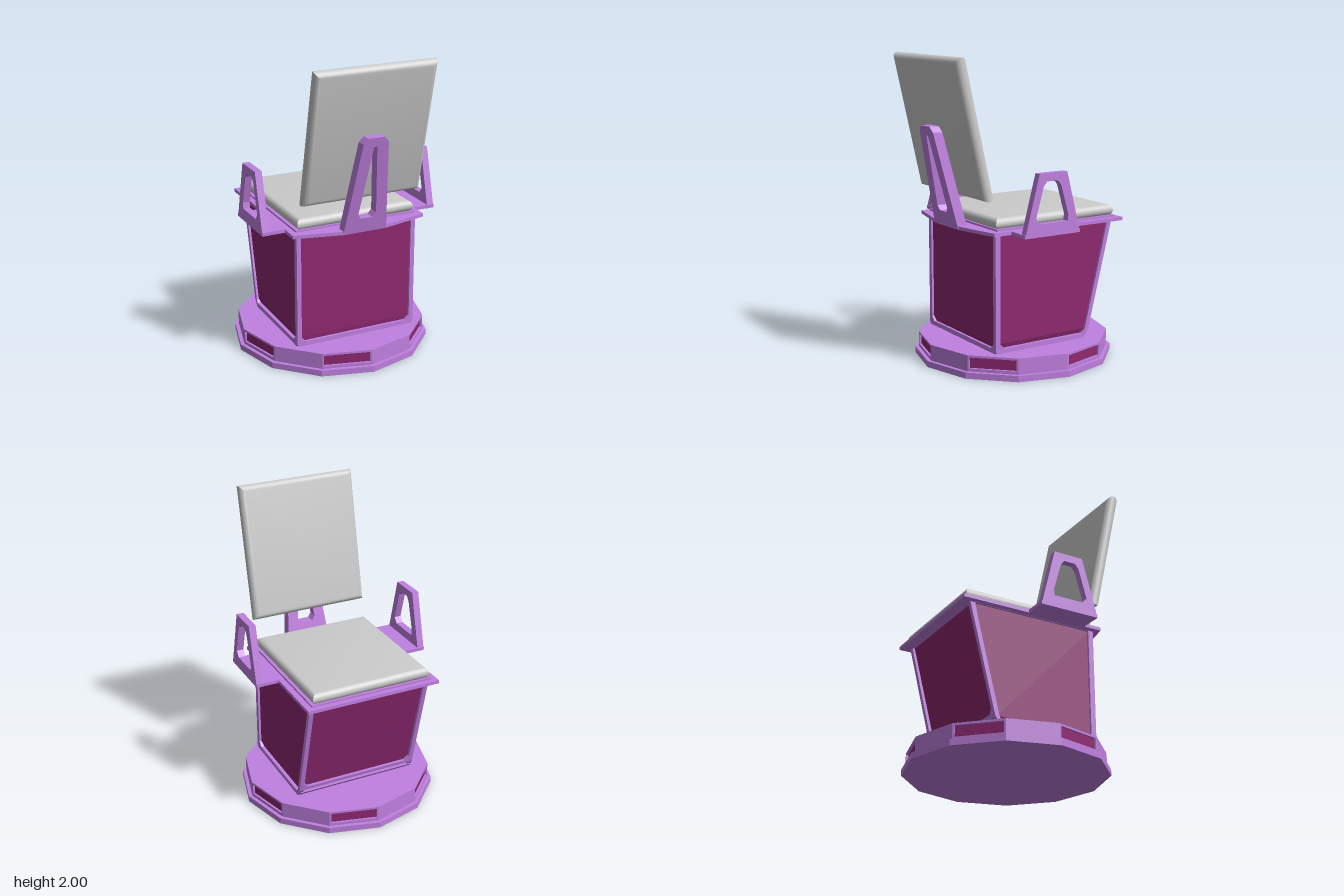
import * as THREE from 'three';
import { toCreasedNormals } from 'three/addons/utils/BufferGeometryUtils.js';

const purple = new THREE.MeshStandardMaterial({ color: 0xc080e0, flatShading: true });
const magenta = new THREE.MeshStandardMaterial({ color: 0x8e2870, flatShading: true });
const grey = new THREE.MeshStandardMaterial({ color: 0xcccccc });

const points = (list) => list.map(([x, y]) => new THREE.Vector2(x, y));

// Flat plate in XY with an optional hole, centred on z = 0
function plate(outline, hole, depth) {
  const shape = new THREE.Shape(points(outline));
  if (hole) shape.holes.push(new THREE.Path(points(hole)));
  return new THREE.ExtrudeGeometry(shape, { depth, bevelEnabled: false }).translate(0, 0, -depth / 2);
}

// Lean a geometry: z moves in proportion to height above y0
function shear(geo, slope, y0) {
  const p = geo.attributes.position;
  for (let i = 0; i < p.count; i++) p.setZ(i, p.getZ(i) + slope * (p.getY(i) - y0));
  geo.computeVertexNormals();
  return geo;
}

// Closed solid through rectangular rings [halfX, zBack, zFront, y], bottom to top
function loft(rings) {
  const pos = [], idx = [];
  rings.forEach(([x, b, f, y]) => pos.push(-x, y, f, x, y, f, x, y, b, -x, y, b));
  for (let r = 0; r < rings.length - 1; r++) {
    for (let k = 0; k < 4; k++) {
      const a = r * 4 + k, b = r * 4 + (k + 1) % 4;
      idx.push(a, b, b + 4, a, b + 4, a + 4);
    }
  }
  const t = (rings.length - 1) * 4;
  idx.push(0, 2, 1, 0, 3, 2, t, t + 1, t + 2, t, t + 2, t + 3);
  const geo = new THREE.BufferGeometry();
  geo.setAttribute('position', new THREE.Float32BufferAttribute(pos, 3));
  geo.setIndex(idx);
  return geo;
}

// Cushion with half-round edges and mitred corners
function cushion(width, length, thick) {
  const r = thick / 2, rings = [];
  for (let i = 0; i <= 10; i++) {
    const a = (i / 10 - 0.5) * Math.PI, inset = r * (1 - Math.cos(a));
    const z = length / 2 - inset;
    rings.push([width / 2 - inset, -z, z, r * Math.sin(a)]);
  }
  return toCreasedNormals(loft(rings), 0.6);
}

export function createModel() {
  const model = new THREE.Group();
  const add = (name, geo, material, parent = model) => {
    const mesh = new THREE.Mesh(geo, material);
    mesh.name = name;
    parent.add(mesh);
    return mesh;
  };

  // Twelve-sided pedestal with a recessed panel on every other face
  const base = new THREE.Group();
  base.name = 'base';
  model.add(base);
  const drum = (r, y0, y1) => new THREE.CylinderGeometry(r, r, y1 - y0, 12).translate(0, (y0 + y1) / 2, 0);
  add('baseFlange', drum(0.655, 0, 0.04), purple, base);
  add('basePanels', drum(0.615, 0.03, 0.135), magenta, base);
  add('baseTop', drum(0.63, 0.132, 0.145), purple, base);
  const half = 0.63 * Math.sin(Math.PI / 12), apothem = 0.63 * Math.cos(Math.PI / 12);
  const rect = (w, y0, y1) => [[-w, y0], [w, y0], [w, y1], [-w, y1]];
  for (let i = 0; i < 12; i++) {
    const hole = i % 2 ? null : rect(0.151, 0.06, 0.131);
    const geo = plate(rect(half, 0.035, 0.134), hole, 0.015);
    geo.translate(0, 0, apothem - 0.0075).rotateY((-15 + 30 * i) * Math.PI / 180);
    add('baseWall', geo, purple, base);
  }

  // Tapered box body
  add('bodyPanels', loft([
    [0.39, -0.26, 0.38, 0.16], [0.405, -0.295, 0.385, 0.21], [0.405, -0.478, 0.385, 0.92],
  ]), magenta);

  // Frames around the body panels
  const frameOuter = [[-0.405, 0.15], [0.405, 0.15], [0.42, 0.165], [0.42, 0.92], [-0.42, 0.92], [-0.42, 0.165]];
  const frameHole = [[-0.36, 0.18], [0.36, 0.18], [0.39, 0.21], [0.39, 0.91], [-0.39, 0.91], [-0.39, 0.21]];
  add('frontFrame', plate(frameOuter, frameHole, 0.03).translate(0, 0, 0.385), purple);
  const backOuter = [[-0.42, 0.2], [0.42, 0.2], [0.42, 0.92], [-0.42, 0.92]];
  const backHole = [[-0.36, 0.225], [0.36, 0.225], [0.39, 0.255], [0.39, 0.91], [-0.39, 0.91], [-0.39, 0.255]];
  add('backFrame', shear(plate(backOuter, backHole, 0.03).translate(0, 0, -0.48), -0.25, 0.92), purple);
  add('bodyBottom', loft([[0.405, -0.28, 0.39, 0.148], [0.41, -0.312, 0.395, 0.2 - 0.02]]), purple);
  const sideOuter = [[0.385, 0.15], [0.4, 0.165], [0.4, 0.92], [-0.495, 0.92], [-0.315, 0.2], [-0.28, 0.15]];
  const sideHole = [[0.335, 0.18], [0.365, 0.21], [0.365, 0.91], [-0.46, 0.91], [-0.3, 0.22], [-0.27, 0.18]];

  // Arm loops
  const armOuter = [[0.31, 0.91], [0.205, 1.3], [0, 1.3], [-0.1, 0.91]];
  const armHole = [[0.2, 0.99], [0.23, 1.025], [0.175, 1.22], [0.15, 1.25],
    [0.07, 1.25], [0.045, 1.22], [-0.01, 1.03], [-0.005, 0.99]];
  for (const [side, s] of [['left', 1], ['right', -1]]) {
    add(side + 'Frame', plate(sideOuter, sideHole, 0.03).rotateY(-Math.PI / 2).translate(s * 0.405, 0, 0), purple);
    add(side + 'Arm', plate(armOuter, armHole, 0.046).rotateY(-Math.PI / 2).translate(s * 0.587, 0, 0), purple);
  }

  // Seat plate with side wings and a pointed front, drawn as half (x, z) and mirrored
  const edge = [[0.15, 0.505], [0.46, 0.433], [0.46, 0.31], [0.61, 0.31], [0.61, -0.1], [0.46, -0.1], [0.46, -0.555]];
  const outline = [...edge, ...edge.map(([x, z]) => [-x, z]).reverse()].map(([x, z]) => [x, -z]);
  add('seatPlate', plate(outline, null, 0.022).rotateX(-Math.PI / 2).translate(0, 0.922, 0), purple);
  add('seatLip', loft([[0.42, -0.52, 0.39, 0.93], [0.42, -0.52, 0.39, 0.945]]), purple);

  // Seat cushion
  add('seat', cushion(0.82, 0.905, 0.076), grey).position.set(0, 0.974, -0.063);

  // Leaning A-shaped back support
  const supportOuter = [[-0.15, 0.91], [0.15, 0.91], [0.085, 1.525], [0.055, 1.56], [-0.055, 1.56], [-0.085, 1.525]];
  const supportHole = [[-0.04, 1.01], [0.04, 1.01], [0.062, 1.04], [0.01, 1.5], [-0.01, 1.5], [-0.062, 1.04]];
  add('backSupport', shear(plate(supportOuter, supportHole, 0.066).translate(0, 0, 0.472), 0.223, 0.91), purple);

  // Leaning backrest cushion
  const backrest = add('backrest', cushion(0.82, 0.9, 0.08), grey);
  backrest.position.set(0, 1.56, 0.53);
  backrest.rotation.x = Math.PI / 2 + 0.221;

  return model;
}
